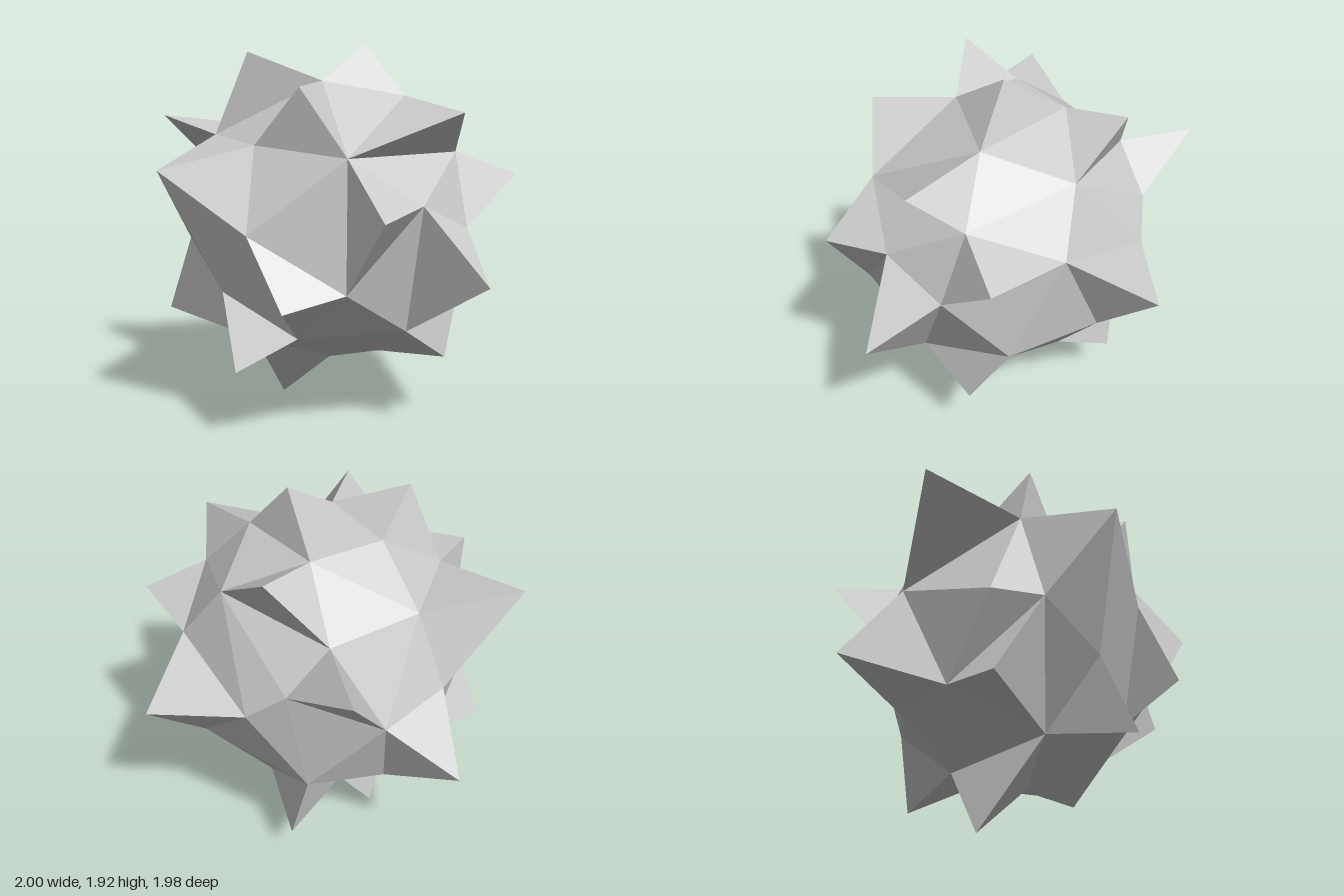
import * as THREE from 'three';
import { ConvexGeometry } from 'three/addons/geometries/ConvexGeometry.js';

const CENTER = new THREE.Vector3(-0.025, 1.023, -0.005);
const RADIUS = 0.75;

// core corners, listed from the crown down to the underside
const CROWN = [
  [-0.18, 1.74, 0.15], [0.2, 1.655, 0.3], [0.19, 1.72, -0.235], [-0.2, 1.71, -0.25],
];
const UPPER = [
  [0.52, 1.53, 0.01], [-0.6, 1.455, 0.235], [-0.3, 1.4, 0.575], [0.35, 1.385, 0.5],
  [-0.6, 1.485, -0.245], [-0.19, 1.495, -0.58], [0.285, 1.465, -0.555], [0.5, 1.245, -0.52],
];
const MIDDLE = [
  [0.655, 1.25, 0.18], [0.015, 1.18, 0.715], [0.325, 1.04, 0.63], [-0.7, 1.05, 0.34],
  [-0.34, 0.79, 0.63], [0.635, 1.09, -0.375], [0.095, 1.04, -0.735], [-0.265, 1.12, -0.735],
  [-0.65, 1.0, -0.42], [-0.77, 0.96, -0.2], [-0.71, 0.74, 0.1], [0.69, 0.785, -0.03],
];
const LOWER = [
  [-0.45, 0.53, 0.37], [0.045, 0.54, 0.565], [0.51, 0.69, 0.385], [0.135, 0.33, 0.185],
  [0.354, 0.383, -0.095], [-0.07, 0.275, 0.03], [-0.46, 0.42, -0.06], [-0.385, 0.61, -0.517],
  [0.37, 0.615, -0.495], [0.06, 0.35, -0.32], [-0.01, 0.58, -0.615],
];
// core corners pulled out into peaks
const PEAKS = [[-1, 1.34, 0.05], [-0.175, 0.77, -0.985]];

// spike tips, each standing on one face of the core
const TIPS = [
  [-0.45, 1.88, -0.12], [0.11, 1.92, 0.09], [0.49, 1.74, -0.34], [-0.47, 1.72, 0.44],
  [0.235, 1.6, 0.735], [0.67, 1.28, 0.62], [-0.3, 1.15, 0.875], [0.195, 0.83, 0.99],
  [0.335, 0.34, 0.505], [1, 1.075, -0.09], [0.425, 0.225, -0.42], [-0.185, 0, -0.28],
  [-0.775, 0.54, -0.45], [0.41, 1.44, -0.925], [-0.66, 1.545, -0.755], [-0.64, 0.73, 0.575],
  [-0.73, 0.385, 0.27],
];

const fromCenter = (p) => new THREE.Vector3(...p).sub(CENTER);

// how far a direction lies inside a triangle seen from the centre (negative = outside)
function inside(dir, [a, b, c]) {
  const side = (p, q) => new THREE.Vector3().crossVectors(p, q).normalize().dot(dir);
  return Math.min(side(a, b), side(b, c), side(c, a));
}

function coreFaces() {
  const corners = [
    ...[...CROWN, ...UPPER, ...MIDDLE, ...LOWER].map((p) => fromCenter(p).setLength(RADIUS)),
    ...PEAKS.map(fromCenter),
  ];
  const dirs = corners.map((v) => v.clone().normalize());
  const nearest = (v) => {
    let best = 0;
    dirs.forEach((d, i) => { if (d.distanceTo(v) < dirs[best].distanceTo(v)) best = i; });
    return corners[best];
  };
  // triangulate on the unit sphere, then restore each corner's own radius
  const hull = new ConvexGeometry(dirs).getAttribute('position');
  const faces = [];
  for (let i = 0; i < hull.count; i += 3) {
    faces.push([0, 1, 2].map((k) => nearest(new THREE.Vector3().fromBufferAttribute(hull, i + k))));
  }
  return faces;
}

function meshFromFaces(name, faces, material) {
  const geometry = new THREE.BufferGeometry().setFromPoints(faces.flat());
  geometry.computeVertexNormals();
  const mesh = new THREE.Mesh(geometry, material);
  mesh.name = name;
  mesh.position.copy(CENTER);
  return mesh;
}

export function createModel() {
  const group = new THREE.Group();
  group.name = 'spikyBall';
  const material = new THREE.MeshStandardMaterial({ color: 0xcccccc, flatShading: true });

  const faces = coreFaces();
  const covered = new Set();

  // spikes: three-sided pyramids replacing the face below each tip
  const spikes = TIPS.map((p) => {
    const tip = fromCenter(p);
    const dir = tip.clone().normalize();
    const base = faces.reduce((best, f) => (inside(dir, f) > inside(dir, best) ? f : best));
    covered.add(base);
    const [a, b, c] = base;
    return [[a, b, tip], [b, c, tip], [c, a, tip]];
  });
  spikes.forEach((s, i) => group.add(meshFromFaces(`spike${i + 1}`, s, material)));

  // core: the faces left between the spikes
  group.add(meshFromFaces('core', faces.filter((f) => !covered.has(f)), material));
  return group;
}
